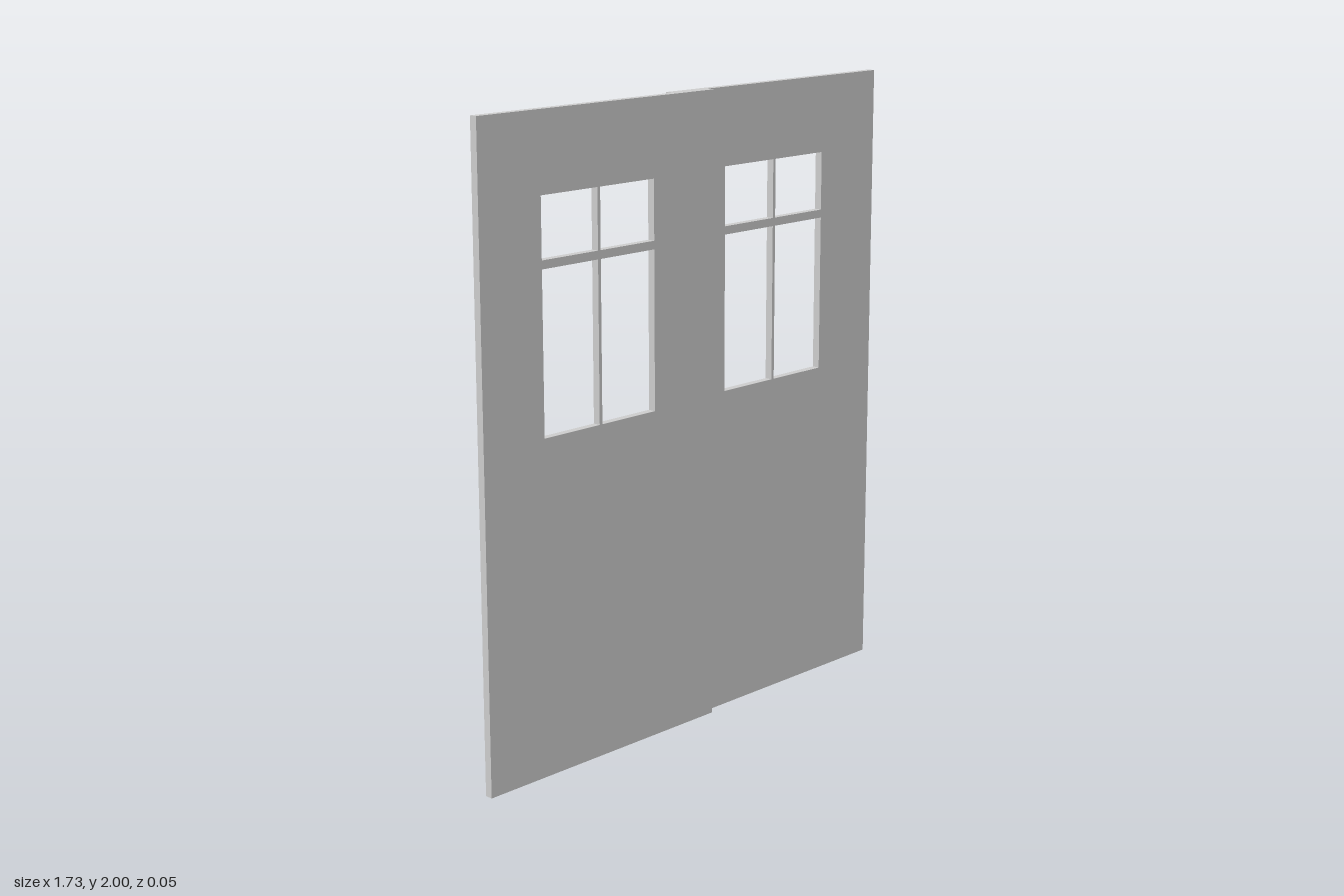
import * as THREE from 'three';

const WIDTH = 0.942, HEIGHT = 2, DEPTH = 0.025, HALF_SPAN = 0.865;

// Rectangle as a list of corner points
const rect = (x0, y0, x1, y1) => [
  new THREE.Vector2(x0, y0), new THREE.Vector2(x1, y0),
  new THREE.Vector2(x1, y1), new THREE.Vector2(x0, y1),
];

// Door leaf with four window openings; the material left between them forms the glazing bars
function doorGeometry() {
  const leaf = new THREE.Shape(rect(0, 0, WIDTH, HEIGHT));
  const columns = [[0.233, 0.454], [0.465, 0.686]];
  const rows = [[1.048, 1.545], [1.571, 1.757]];
  for (const [x0, x1] of columns) {
    for (const [y0, y1] of rows) {
      leaf.holes.push(new THREE.Path(rect(x0, y0, x1, y1)));
    }
  }
  return new THREE.ExtrudeGeometry(leaf, { depth: DEPTH, bevelEnabled: false });
}

export function createModel() {
  const group = new THREE.Group();
  group.name = 'slidingDoors';
  const material = new THREE.MeshStandardMaterial({ color: 0xcccccc });
  const geometry = doorGeometry();

  // Two identical leaves, overlapping at the middle on separate tracks
  const addDoor = (name, x, z) => {
    const door = new THREE.Mesh(geometry, material);
    door.name = name;
    door.position.set(x, 0, z);
    group.add(door);
  };
  addDoor('frontDoor', -HALF_SPAN, 0);
  addDoor('rearDoor', HALF_SPAN - WIDTH, -DEPTH);
  return group;
}
